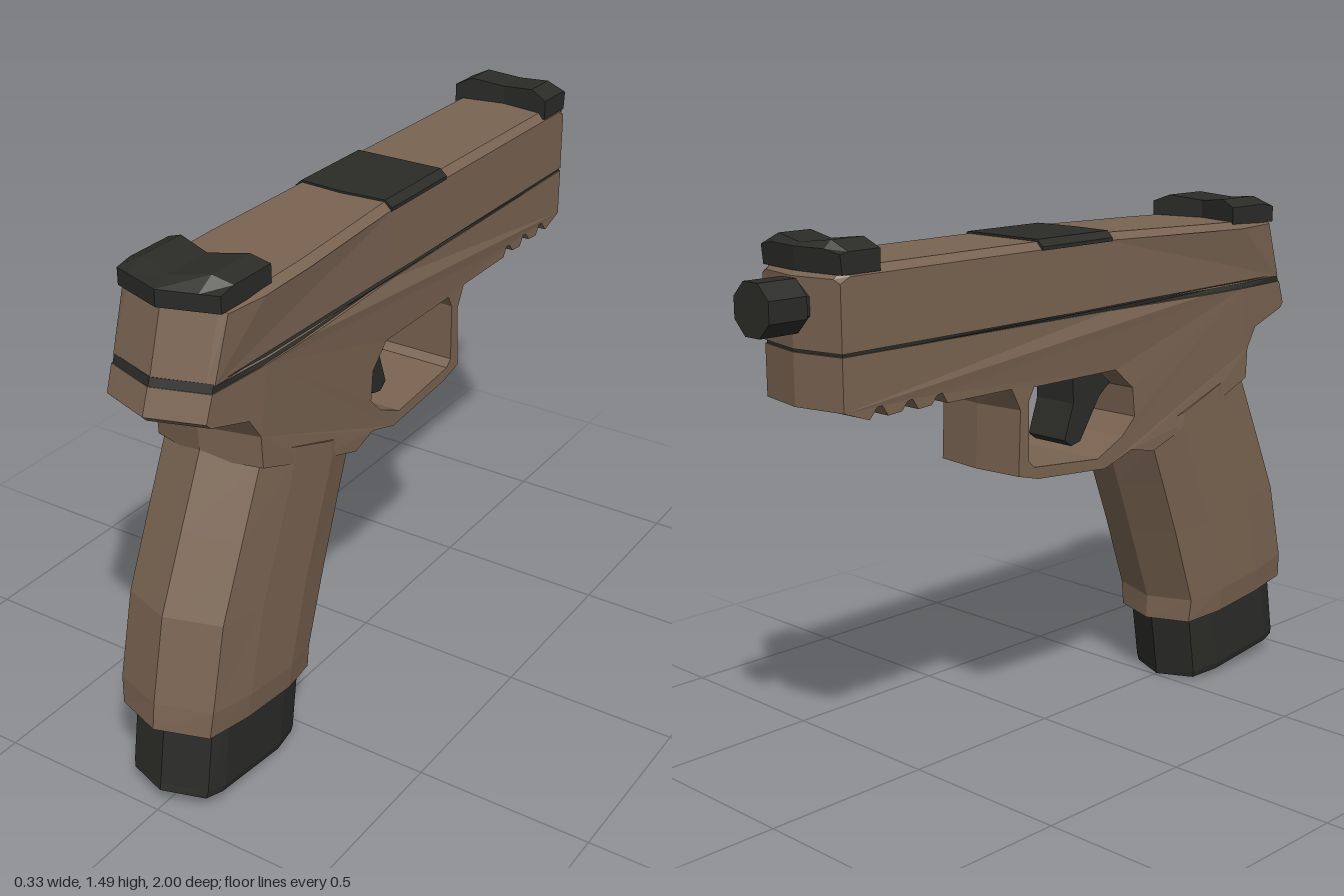
import * as THREE from 'three';

const tan = new THREE.MeshStandardMaterial({ color: 0x7a6452, flatShading: true });
const dark = new THREE.MeshStandardMaterial({ color: 0x2b2b28, flatShading: true });

// Half width along the body: slim nose, swelling over the grip
const STOPS = [[0.1, 0.148], [0.5, 0.165], [0.68, 0.165], [0.92, 0.148]];
function bodyWidth(z) {
  if (z <= STOPS[0][0]) return STOPS[0][1];
  for (let i = 1; i < STOPS.length; i++) {
    const [z0, w0] = STOPS[i - 1], [z1, w1] = STOPS[i];
    if (z <= z1) return w0 + (w1 - w0) * (z - z0) / (z1 - z0);
  }
  return 0.148;
}

function makeMesh(name, positions, material) {
  const geometry = new THREE.BufferGeometry();
  geometry.setAttribute('position', new THREE.Float32BufferAttribute(positions, 3));
  geometry.computeVertexNormals();
  const mesh = new THREE.Mesh(geometry, material);
  mesh.name = name;
  return mesh;
}

// Side profile spread across five layers in x.
// Point: [z, y, ridge shift in z at the centre, drop in y at the sides, shift in y at the centre]
function slab(name, material, outline, { width = bodyWidth, holes = [], edge = 0.02 } = {}) {
  const to2 = (loop) => loop.map(([z, y]) => new THREE.Vector2(z, y));
  const orient = (loop, clockwise) =>
    THREE.ShapeUtils.isClockWise(to2(loop)) === clockwise ? loop : loop.slice().reverse();
  const loops = [orient(outline, false), ...holes.map((h) => orient(h, true))];
  const place = ([z, y, dz = 0, drop = 0, dy = 0], layer) => {
    const w = width(z);
    if (layer === 2) return [0, y + dy, z + dz];
    const side = layer < 2 ? -1 : 1;
    const outer = layer === 0 || layer === 4;
    return [side * (outer ? w : w - edge), outer ? y - drop : y, z + (outer ? 0 : dz * edge / w)];
  };
  const out = [];
  const tri = (...corners) => corners.forEach((c) => out.push(...c));
  // Rim and hole walls
  for (const loop of loops) {
    loop.forEach((a, i) => {
      const b = loop[(i + 1) % loop.length];
      for (let k = 0; k < 4; k++) {
        tri(place(a, k), place(b, k + 1), place(b, k));
        tri(place(a, k), place(a, k + 1), place(b, k + 1));
      }
    });
  }
  // Flat sides
  const all = loops.flat();
  for (const face of THREE.ShapeUtils.triangulateShape(to2(loops[0]), loops.slice(1).map(to2))) {
    let [a, b, c] = face.map((i) => all[i]);
    if ((b[0] - a[0]) * (c[1] - a[1]) - (b[1] - a[1]) * (c[0] - a[0]) < 0) [b, c] = [c, b];
    tri(place(a, 0), place(b, 0), place(c, 0));
    tri(place(a, 4), place(c, 4), place(b, 4));
  }
  return makeMesh(name, out, material);
}

// Stack of ten-sided sections; row: [back z, back y, front z, front y, width scale]
function loft(name, material, rows, section) {
  const ring = [...section, ...section.slice(1, -1).reverse().map(([t, x]) => [t, -x])];
  const sections = rows.map(([zb, yb, zf, yf, s = 1]) =>
    ring.map(([t, x]) => [x * s, yb + (yf - yb) * t, zb + (zf - zb) * t]));
  const out = [];
  const n = ring.length;
  for (let r = 0; r + 1 < rows.length; r++) {
    for (let i = 0; i < n; i++) {
      const j = (i + 1) % n, lo = sections[r], hi = sections[r + 1];
      out.push(...lo[i], ...lo[j], ...hi[j], ...lo[i], ...hi[j], ...hi[i]);
    }
  }
  const bottom = sections[0], top = sections[rows.length - 1];
  for (let i = 1; i + 1 < n; i++) {
    out.push(...bottom[0], ...bottom[i + 1], ...bottom[i], ...top[0], ...top[i], ...top[i + 1]);
  }
  return makeMesh(name, out, material);
}

export function createModel() {
  const model = new THREE.Group();

  // Slide with bevelled top edges and pointed ends
  model.add(slab('slide', tan, [
    [0.87, 1.232, 0.05], [0.815, 1.41, 0.05, 0.015], [0.68, 1.412, 0, 0.02], [0.5, 1.417, 0, 0.02],
    [0.1, 1.428, 0, 0.02], [-0.82, 1.425, -0.025, 0.02], [-0.85, 1.4, -0.03, 0.01],
    [-0.85, 1.222, -0.03], [0.1, 1.226], [0.5, 1.229], [0.68, 1.23],
  ]));

  // Dark seam between slide and frame
  model.add(slab('seam', dark, [
    [0.88, 1.21, 0.05], [0.87, 1.236, 0.05], [0.68, 1.234], [0.5, 1.232], [0.1, 1.228],
    [-0.847, 1.224, -0.03], [-0.847, 1.21, -0.03], [0.1, 1.21], [0.5, 1.21], [0.68, 1.21],
  ], { width: (z) => bodyWidth(z) - 0.003 }));

  // Frame with rail notches and trigger guard
  const notches = [-0.51, -0.61, -0.71].flatMap((z) => [
    [z, 1.052], [z - 0.018, 1.08], [z - 0.035, 1.078], [z - 0.055, 1.055],
  ]);
  model.add(slab('frame', tan, [
    [0.88, 1.214, 0.05], [0.905, 1.145, 0.05], [0.89, 1.13, 0.05], [0.755, 1.09, 0.04],
    [0.715, 1.03, 0.04], [0.71, 0.94, 0.04], [0.5, 0.86], [0.29, 0.785, -0.02], [0.2, 0.805],
    [0.09, 0.768], [-0.18, 0.79], [-0.255, 0.81, -0.015], [-0.247, 0.99, -0.015],
    [-0.28, 1.052, -0.01], ...notches, [-0.77, 1.05], [-0.85, 1.078, -0.03],
    [-0.85, 1.214, -0.03], [0.1, 1.214], [0.5, 1.214], [0.68, 1.214],
  ], {
    holes: [[
      [0.21, 0.9], [0.2, 0.985], [0.13, 1.045], [-0.195, 1.045], [-0.215, 1.01],
      [-0.215, 0.845], [-0.195, 0.825], [0.06, 0.802], [0.16, 0.85],
    ]],
  }));

  // Grip with ridged back and front
  model.add(loft('grip', tan, [
    [0.995, 0.26, 0.455, 0.2, 0.95], [0.985, 0.335, 0.458, 0.27], [0.932, 0.57, 0.375, 0.5],
    [0.84, 0.77, 0.315, 0.66], [0.752, 0.96, 0.268, 0.782], [0.75, 1.0, 0.28, 0.83],
  ], [[0, 0], [0.1, 0.148], [0.36, 0.165], [0.7, 0.165], [0.92, 0.14], [1, 0]]));

  // Magazine base
  model.add(loft('magazineBase', dark, [
    [0.985, 0.055, 0.51, 0, 0.96], [0.98, 0.075, 0.507, 0.02], [0.94, 0.32, 0.47, 0.26],
  ], [[0, 0], [0.09, 0.122], [0.2, 0.137], [0.72, 0.137], [0.91, 0.115], [1, 0]]));

  // Trigger
  model.add(slab('trigger', dark, [
    [0.195, 0.99], [0.12, 1.055], [0.04, 1.055], [0.043, 0.95], [0.008, 0.85],
    [0.035, 0.83], [0.072, 0.838], [0.15, 0.955],
  ], { width: () => 0.07 }));

  // Ejection port cover
  model.add(slab('ejectionPort', dark, [
    [0.11, 1.405, 0.01], [0.11, 1.433, 0.01, 0.018], [-0.165, 1.433, 0, 0.018], [-0.165, 1.405],
  ], { width: () => 0.151 }));

  // Sights: chevron plan, shallow notch along the middle of the top
  model.add(slab('rearSight', dark, [
    [0.835, 1.4, 0.05], [0.835, 1.445, 0.05], [0.785, 1.475, 0.05, 0.02, -0.012],
    [0.64, 1.475, 0.045, 0.02, -0.012], [0.64, 1.4, 0.045],
  ], { width: () => 0.152, edge: 0.05 }));
  model.add(slab('frontSight', dark, [
    [-0.725, 1.41, -0.025], [-0.725, 1.49, -0.025, 0.025, -0.012],
    [-0.825, 1.49, -0.025, 0.025, -0.012], [-0.85, 1.47, -0.02, 0.01], [-0.845, 1.41, -0.02],
  ], { width: () => 0.15, edge: 0.05 }));

  // Barrel: slim neck and wider muzzle
  const barrel = new THREE.Group();
  barrel.name = 'barrel';
  for (const [name, radius, from, to] of [['neck', 0.06, -0.84, -0.9], ['muzzle', 0.072, -0.885, -1]]) {
    const part = new THREE.Mesh(new THREE.CylinderGeometry(radius, radius, from - to, 8), dark);
    part.name = name;
    part.rotation.set(Math.PI / 2, Math.PI / 8, 0);
    part.position.set(0, 1.33, (from + to) / 2);
    barrel.add(part);
  }
  model.add(barrel);

  return model;
}
